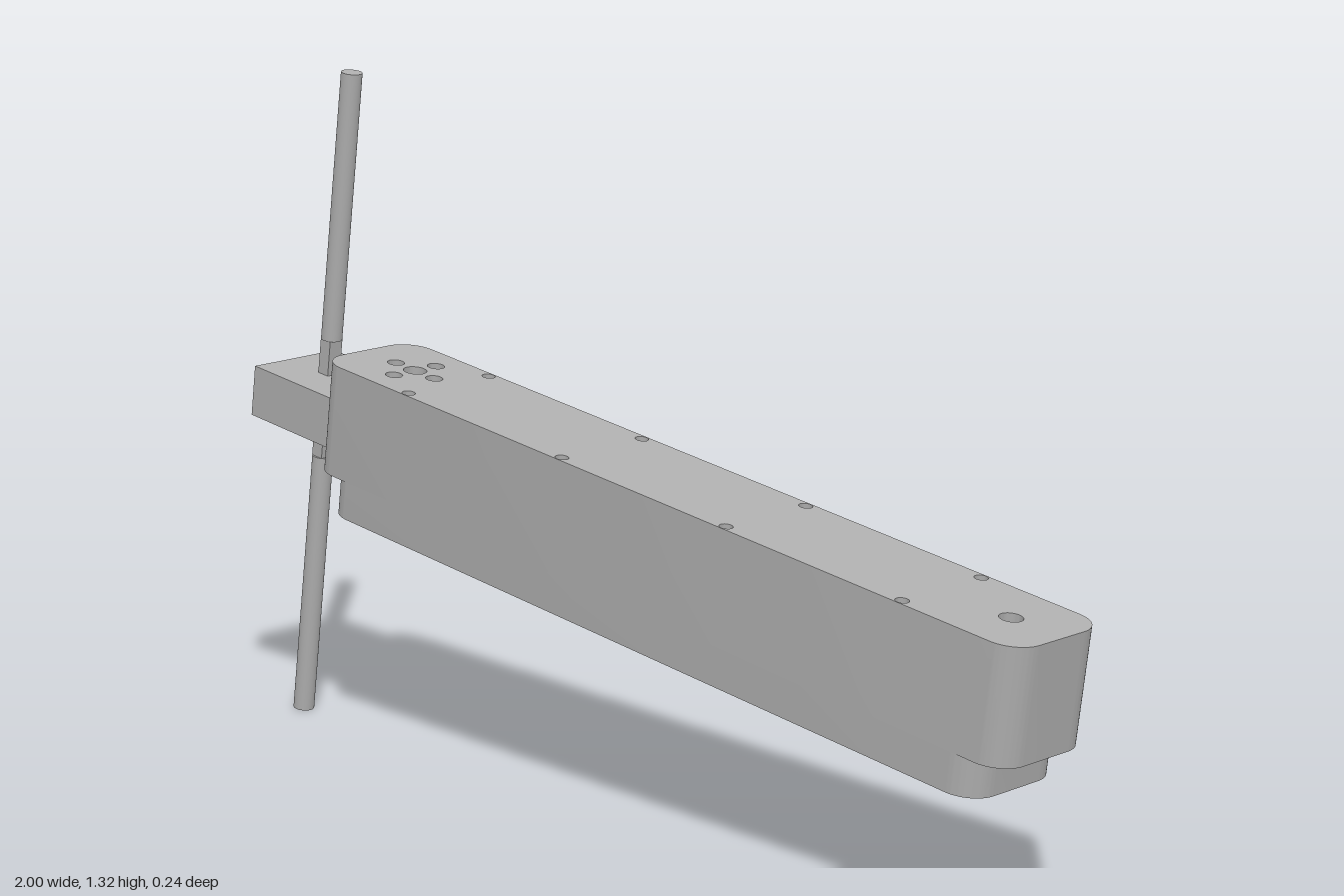
import * as THREE from 'three';
import { toCreasedNormals } from 'three/addons/utils/BufferGeometryUtils.js';

const WIDTH = 0.24;

// Rounded plan outline running from u0 to u1 along the length
function roundedOutline(u0, u1, r) {
  const h = WIDTH / 2, s = new THREE.Shape();
  s.moveTo(u0 + r, -h);
  s.lineTo(u1 - r, -h);
  s.absarc(u1 - r, -h + r, r, -Math.PI / 2, 0);
  s.lineTo(u1, h - r);
  s.absarc(u1 - r, h - r, r, 0, Math.PI / 2);
  s.lineTo(u0 + r, h);
  s.absarc(u0 + r, h - r, r, Math.PI / 2, Math.PI);
  s.lineTo(u0, -h + r);
  s.absarc(u0 + r, -h + r, r, Math.PI, Math.PI * 1.5);
  return s;
}

function drill(shape, u, w, r) {
  const hole = new THREE.Path();
  hole.absarc(u, w, r, 0, Math.PI * 2, true);
  shape.holes.push(hole);
}

export function createModel() {
  const model = new THREE.Group();
  const grey = new THREE.MeshStandardMaterial({ color: 0xb0b0b0 });
  grey.name = 'plain grey';

  // Everything is laid out level, then tilted about the body's top corner
  const arm = new THREE.Group();
  arm.name = 'tiltedArm';
  arm.position.set(-0.757, 0.78, 0);
  arm.rotation.z = -0.134;
  model.add(arm);

  const add = (name, geometry, x = 0, y = 0, z = 0) => {
    const mesh = new THREE.Mesh(geometry, grey);
    mesh.name = name;
    mesh.position.set(x, y, z);
    arm.add(mesh);
  };

  const slab = (name, shape, bottom, top) => {
    const g = new THREE.ExtrudeGeometry(shape, { depth: top - bottom, bevelEnabled: false, curveSegments: 10 });
    g.rotateX(-Math.PI / 2);
    add(name, toCreasedNormals(g, 0.6), 0, bottom, 0);
  };

  // Body layers share the edge screw holes and the end hole
  const upper = roundedOutline(0, 1.77, 0.06);
  const lower = roundedOutline(0.05, 1.716, 0.06);
  for (const layer of [upper, lower]) {
    for (const u of [0.24, 0.66, 1.08, 1.5]) {
      for (const side of [-1, 1]) drill(layer, u, side * 0.105, 0.013);
    }
    drill(layer, 1.657, 0, 0.022);
  }

  // Cross of mounting holes at the rod end
  drill(upper, 0.143, 0, 0.023);
  for (const [du, dw] of [[1, 0], [-1, 0], [0, 1], [0, -1]]) {
    drill(upper, 0.143 + du * 0.055, dw * 0.055, 0.017);
  }

  // Rectangular pocket open to the underside
  const pocket = new THREE.Path();
  pocket.moveTo(0.085, -0.09);
  pocket.lineTo(0.085, 0.09);
  pocket.lineTo(0.56, 0.09);
  pocket.lineTo(0.56, -0.09);
  pocket.closePath();
  lower.holes.push(pocket);

  slab('upperBody', upper, -0.222, 0);
  slab('lowerBody', lower, -0.297, -0.222);

  // Clamp block and the cross rod, which has a flattened middle
  const rodU = -0.114, rodV = -0.134, rodZ = -0.012, half = 0.665, flat = 0.122;
  add('clampBlock', new THREE.BoxGeometry(0.27, 0.102, 0.21), -0.085, rodV, -0.015);
  for (const [name, side] of [['upperRod', 1], ['lowerRod', -1]]) {
    add(name, new THREE.CylinderGeometry(0.021, 0.021, half - flat, 32),
      rodU, rodV + side * (half + flat) / 2, rodZ);
  }
  add('rodFlat', new THREE.BoxGeometry(0.028, flat * 2, 0.032), rodU, rodV, rodZ);

  return model;
}
